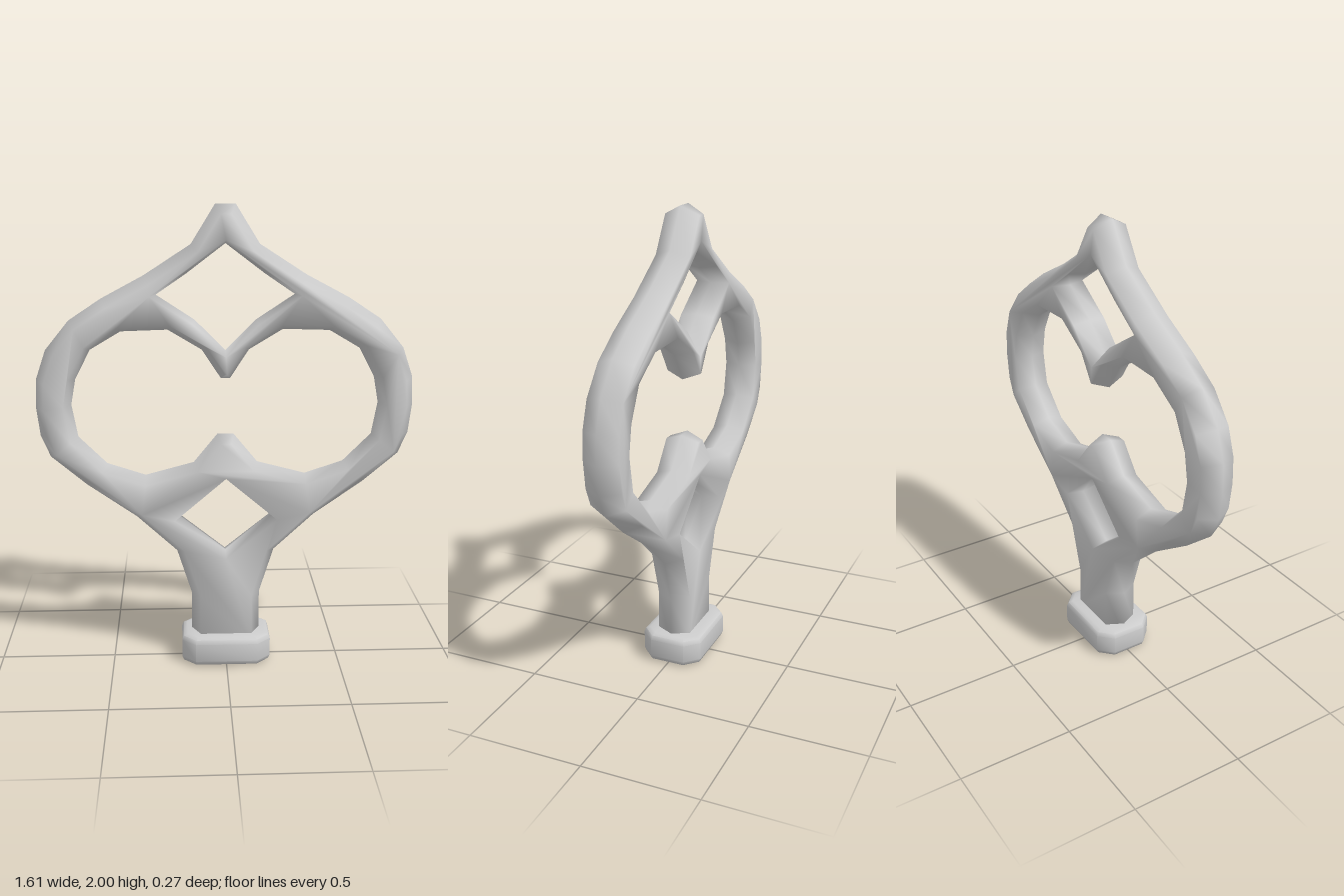
import * as THREE from 'three';
import { toCreasedNormals } from 'three/addons/utils/BufferGeometryUtils.js';

const HALF_DEPTH = 0.075;
const material = new THREE.MeshStandardMaterial({ color: 0xcccccc });

// Right half of a contour, bottom to top, completed by mirroring across x = 0
function mirrored(half) {
  const left = half.filter(p => p[0] > 0).reverse().map(([x, y]) => [-x, y]);
  return [...half, ...left].map(p => new THREE.Vector2(...p));
}

// Moves a contour into the material, which lies to the left of its direction
function insetContour(points, amount) {
  const n = points.length;
  return points.map((p, i) => {
    const a = p.clone().sub(points[(i + n - 1) % n]).normalize();
    const b = points[(i + 1) % n].clone().sub(p).normalize();
    const m = new THREE.Vector2(-a.y - b.y, a.x + b.x).normalize();
    const cos = Math.max(0.55, m.dot(new THREE.Vector2(-a.y, a.x)));
    return p.clone().addScaledVector(m, amount / cos);
  });
}

// Flat frame whose edges slope from both faces to a ridge at mid depth
function ridgedPlate(contours) {
  const rims = contours.map(c => insetContour(c.points, c.inset));
  const ridge = contours.flatMap(c => c.points);
  const rim = rims.flat();
  const n = ridge.length;
  const positions = [];
  const addRing = (pts, z) => pts.forEach(p => positions.push(p.x, p.y, z));
  addRing(rim, HALF_DEPTH);
  addRing(ridge, 0);
  addRing(rim, -HALF_DEPTH);

  const index = [];
  for (const [a, b, c] of THREE.ShapeUtils.triangulateShape(rims[0], rims.slice(1))) {
    index.push(a, b, c, 2 * n + c, 2 * n + b, 2 * n + a);
  }
  let start = 0;
  for (const { points } of contours) {
    for (let k = 0; k < points.length; k++) {
      const i = start + k;
      const j = start + (k + 1) % points.length;
      for (const o of [0, n]) {
        index.push(o + n + i, o + n + j, o + j, o + n + i, o + j, o + i);
      }
    }
    start += points.length;
  }
  const geometry = new THREE.BufferGeometry();
  geometry.setAttribute('position', new THREE.Float32BufferAttribute(positions, 3));
  geometry.setIndex(index);
  geometry.computeVertexNormals();
  return geometry;
}

function addMesh(group, name, geometry) {
  const mesh = new THREE.Mesh(geometry, material);
  mesh.name = name;
  group.add(mesh);
  return mesh;
}

export function createModel() {
  const group = new THREE.Group();
  group.name = 'keyBow';

  // Outer outline, from the neck to the flat-topped peak
  const outline = mirrored([
    [0.15, 0.06], [0.15, 0.3], [0.213, 0.5], [0.386, 0.66], [0.6, 0.81],
    [0.75, 0.937], [0.79, 1.03], [0.805, 1.155], [0.8, 1.275], [0.757, 1.4],
    [0.656, 1.524], [0.52, 1.614], [0.34, 1.71], [0.143, 1.837], [0.042, 2],
  ]);
  // Large heart-shaped opening with a point from above and below
  const heart = mirrored([
    [0.035, 1.03], [0.137, 0.905], [0.345, 0.85], [0.51, 0.905], [0.63, 1.025],
    [0.655, 1.165], [0.635, 1.275], [0.57, 1.4], [0.44, 1.477], [0.243, 1.483],
    [0.1, 1.397], [0.02, 1.275],
  ].sort((a, b) => 0)).reverse();
  // Small diamond openings above and below it
  const upperDiamond = mirrored([[0, 1.395], [0.13, 1.525], [0.29, 1.63], [0.165, 1.715], [0, 1.84]]).reverse();
  const lowerDiamond = mirrored([[0, 0.5], [0.2, 0.66], [0, 0.83]]).reverse();

  addMesh(group, 'bow', ridgedPlate([
    { points: outline, inset: 0.038 },
    { points: heart, inset: 0.028 },
    { points: upperDiamond, inset: 0.014 },
    { points: lowerDiamond, inset: 0.014 },
  ]));

  // Collar: block with cut corners and softened edges
  const bevel = 0.025;
  const w = 0.195 - bevel, d = 0.137 - bevel, cut = 0.045;
  const plan = new THREE.Shape([
    [w, -d + cut], [w, d - cut], [w - cut, d], [-w + cut, d],
    [-w, d - cut], [-w, -d + cut], [-w + cut, -d], [w - cut, -d],
  ].map(p => new THREE.Vector2(...p)));
  const collar = new THREE.ExtrudeGeometry(plan, {
    depth: 0.13 - 2 * bevel, bevelEnabled: true,
    bevelThickness: bevel, bevelSize: bevel, bevelSegments: 2,
  });
  collar.rotateX(-Math.PI / 2).translate(0, bevel, 0);
  addMesh(group, 'collar', toCreasedNormals(collar, 0.85));

  return group;
}
